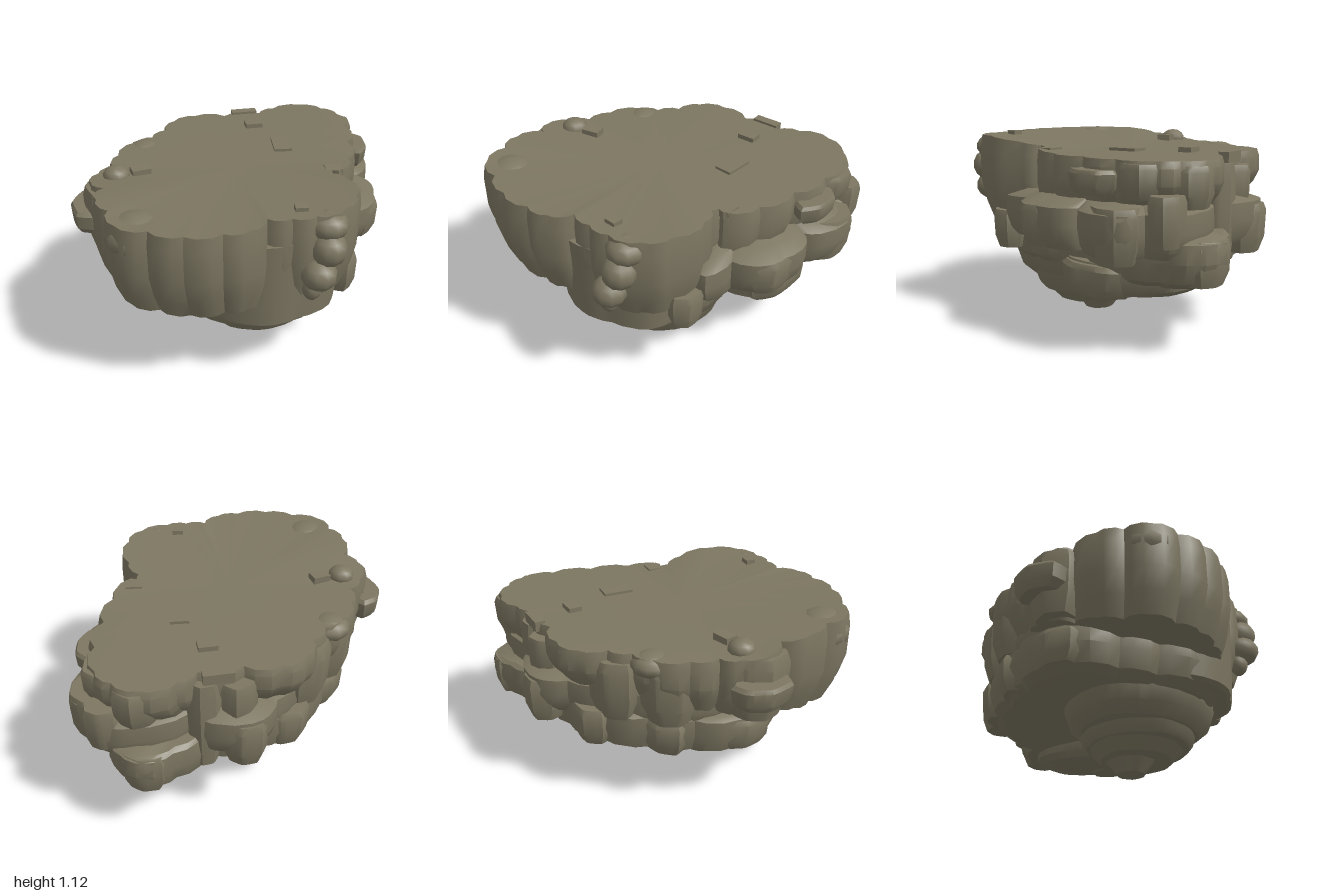
import * as THREE from 'three';
import { toCreasedNormals } from 'three/addons/utils/BufferGeometryUtils.js';

const rock = new THREE.MeshStandardMaterial({ color: 0x7c7661 });
rock.name = 'weathered olive rock';

// Small seeded generator for uneven chunks
let seed = 11;
const rand = () => (seed = (seed * 16807) % 2147483647) / 2147483647;

// Bulge every edge outwards so the outline becomes a row of rounded lobes
function scallop(pts, k) {
  const out = [];
  pts.forEach(([x, z], i) => {
    const [u, w] = pts[(i + 1) % pts.length];
    out.push([x, z]);
    for (const t of [0.28, 0.72]) {
      out.push([x + (u - x) * t + (w - z) * k, z + (w - z) * t - (u - x) * k]);
    }
  });
  return out;
}

// Loft an outline through rings [height, scale]; height may be a function of z
function slab(name, outline, rings, k = 0.12) {
  let area = 0;
  outline.forEach(([x, z], i) => {
    const [u, w] = outline[(i + 1) % outline.length];
    area += x * w - u * z;
  });
  const pts = scallop(area < 0 ? [...outline].reverse() : outline, k);
  const n = pts.length;
  const cx = outline.reduce((s, p) => s + p[0], 0) / outline.length;
  const cz = outline.reduce((s, p) => s + p[1], 0) / outline.length;
  const height = (y, z) => (typeof y === 'function' ? y(z) : y);
  const pos = [], idx = [];
  for (const [y, s] of rings) {
    for (const [px, pz] of pts) {
      const z = cz + (pz - cz) * s;
      pos.push(cx + (px - cx) * s, height(y, z), z);
    }
  }
  const top = (rings.length - 1) * n, c = rings.length * n;
  pos.push(cx, height(rings[0][0], cz), cz, cx, height(rings.at(-1)[0], cz), cz);
  for (let i = 0; i < n; i++) {
    const j = (i + 1) % n;
    for (let r = 0; r < top; r += n) {
      idx.push(r + i, r + i + n, r + j, r + j, r + i + n, r + j + n);
    }
    idx.push(c, i, j, c + 1, top + j, top + i);
  }
  const g = new THREE.BufferGeometry();
  g.setAttribute('position', new THREE.Float32BufferAttribute(pos, 3));
  g.setIndex(idx);
  const mesh = new THREE.Mesh(toCreasedNormals(g, 0.6), rock);
  mesh.name = name;
  return mesh;
}

// Uneven polygon round a centre
function blob(x, z, rx, rz, n, wobble = 0.1) {
  return Array.from({ length: n }, (_, i) => {
    const a = ((i + 0.5) / n) * Math.PI * 2, r = 1 + (rand() - 0.5) * 2 * wobble;
    return [x + Math.cos(a) * rx * r, z + Math.sin(a) * rz * r];
  });
}

export function createModel() {
  const group = new THREE.Group();
  group.name = 'floatingRock';
  const add = (...a) => group.add(slab(...a));

  // Stepped tip underneath
  add('tip', blob(0.12, 0.16, 0.15, 0.15, 7, 0.05), [[0, 0.6], [0.09, 1.05]], 0.04);
  add('lowerStep', blob(0.13, 0.19, 0.28, 0.27, 9, 0.05), [[0.08, 0.84], [0.15, 1.08], [0.17, 1.06]], 0.04);
  add('middleStep', blob(0.13, 0.21, 0.35, 0.35, 10, 0.05), [[0.15, 0.92], [0.18, 1], [0.28, 1.1]], 0.05);
  add('upperStep', [[0.5, 0.35], [0.42, 0.56], [0.2, 0.65], [-0.05, 0.64], [-0.25, 0.53], [-0.4, 0.32],
    [-0.36, 0.08], [-0.18, -0.12], [0.2, -0.22], [0.45, -0.12], [0.53, 0.1]],
  [[0.22, 0.8], [0.28, 0.96], [0.4, 1.05], [0.44, 1.05]], 0.07);

  // Shelves stacked below the cap
  add('backKeel', [[0.5, 0.0], [0.68, -0.08], [0.73, -0.3], [0.7, -0.55], [0.62, -0.75], [0.42, -0.8],
    [0.25, -0.66], [0.22, -0.4], [0.3, -0.1]],
  [[(z) => 0.23 - z * 0.1, 0.84], [(z) => 0.28 - z * 0.07, 0.97], [0.42, 1.04], [0.45, 1]], 0.06);
  add('lowerShelf', [[0.5, 0.55], [0.3, 0.7], [0.1, 0.77], [-0.1, 0.77], [-0.3, 0.62], [-0.5, 0.48],
    [-0.7, 0.32], [-0.75, 0.1], [-0.66, -0.12], [-0.53, -0.35], [-0.35, -0.58], [-0.1, -0.72],
    [0.2, -0.76], [0.4, -0.93], [0.56, -0.99], [0.68, -0.92], [0.74, -0.75], [0.76, -0.5], [0.68, -0.2],
    [0.58, 0.1], [0.58, 0.35]],
  [[0.36, 0.87], [0.4, 0.95], [0.51, 1], [0.61, 0.99], [0.63, 0.95]]);
  add('middleShelf', [[0.55, 0.42], [0.68, 0.42], [0.7, 0.22], [0.86, 0.12], [0.9, -0.02], [0.91, -0.2],
    [0.84, -0.28], [0.93, -0.38], [0.95, -0.62], [0.82, -0.7], [0.8, -0.84], [0.6, -0.88], [0.3, -0.79],
    [0.12, -0.9], [-0.1, -0.88], [-0.2, -0.72], [-0.38, -0.5], [-0.58, -0.3], [-0.7, 0], [-0.55, 0.3], [0, 0.5]],
  [[0.53, 0.9], [0.57, 0.95], [0.66, 0.99], [0.76, 0.98], [0.8, 0.82]], 0.09);
  add('frontWall', [[-0.14, 0.74], [0.1, 0.83], [0.3, 0.77], [0.5, 0.66], [0.55, 0.4], [0.3, 0],
    [-0.1, 0.15], [-0.2, 0.5]], [[0.4, 0.9], [0.42, 0.98], [0.65, 1.05], [0.95, 1.09]], 0.07);

  // Broad flat cap, thick and higher at the front
  const crown = (z) => 1.025 + 0.075 * THREE.MathUtils.smoothstep(z, -0.05, 0.65);
  const base = (z) => 0.665 - 0.11 * THREE.MathUtils.clamp(z / 0.6, -1, 1);
  const between = (t) => (z) => base(z) + (crown(z) - base(z)) * t;
  add('cap', [[-0.14, 0.95], [-0.34, 0.96], [-0.52, 0.89], [-0.69, 0.82], [-0.73, 0.66], [-0.8, 0.52],
    [-0.77, 0.34], [-0.85, 0.24], [-0.82, 0.08], [-0.74, -0.02], [-0.71, -0.18], [-0.61, -0.36],
    [-0.5, -0.43], [-0.41, -0.54], [-0.35, -0.69], [-0.2, -0.77], [0, -0.75], [0.25, -0.78], [0.36, -0.86],
    [0.56, -0.91], [0.7, -0.83], [0.79, -0.72], [0.8, -0.5], [0.76, -0.25], [0.71, 0], [0.61, 0.2],
    [0.54, 0.13], [0.56, 0.24], [0.62, 0.36], [0.62, 0.6], [0.53, 0.75], [0.36, 0.82], [0.23, 0.83],
    [0.1, 0.82], [0, 0.93]],
  [[base, 0.82], [between(0.02), 0.91], [between(0.25), 0.965], [between(0.5), 1],
    [between(0.85), 1], [crown, 0.985]], 0.16);

  // Chunks jutting out: x, z, half width, half depth, bottom, top
  const chunks = [
    ['leftOutcrop', -0.86, 0.18, 0.11, 0.19, 0.76, 0.91],
    ['leftOutcrop', -0.75, 0.22, 0.13, 0.18, 0.64, 1.03],
    ['leftOutcrop', -0.65, 0.16, 0.13, 0.18, 0.4, 0.6],
    ['leftOutcrop', -0.55, -0.22, 0.16, 0.18, 0.6, 0.98],
    ['leftOutcrop', -0.5, -0.22, 0.16, 0.16, 0.38, 0.6],
    ['leftOutcrop', -0.36, -0.46, 0.16, 0.16, 0.6, 0.97],
    ['leftOutcrop', -0.25, -0.58, 0.16, 0.14, 0.39, 0.63],
    ['backOutcrop', 0, -0.8, 0.14, 0.14, 0.46, 0.74],
    ['backOutcrop', 0.03, -0.76, 0.1, 0.1, 0.7, 0.96],
    ['backOutcrop', 0.22, -0.76, 0.1, 0.1, 0.42, 0.98],
    ['backOutcrop', 0.55, -0.88, 0.14, 0.12, 0.38, 0.62],
    ['backOutcrop', 0.57, -0.82, 0.14, 0.11, 0.78, 1],
    ['backOutcrop', 0.76, -0.78, 0.1, 0.1, 0.6, 0.86],
    ['rightOutcrop', 0.81, -0.38, 0.1, 0.16, 0.84, 0.97],
    ['rightOutcrop', 0.75, -0.62, 0.11, 0.14, 0.83, 1.01],
    ['rightOutcrop', 0.84, -0.53, 0.12, 0.16, 0.5, 0.79],
    ['rightOutcrop', 0.78, 0, 0.13, 0.17, 0.53, 0.76],
    ['rightOutcrop', 0.58, 0.47, 0.1, 0.12, 0.43, 0.66],
    ['rightOutcrop', 0.65, -0.28, 0.13, 0.28, 0.26, 0.44],
  ];
  for (const [name, x, z, rx, rz, y0, y1] of chunks) {
    const h = y1 - y0;
    add(name, blob(x, z, rx, rz, 7), [[y0, 0.72], [y0 + h * 0.3, 0.95], [y0 + h * 0.85, 1], [y1, 0.88]], 0.03);
  }

  // Rounded knobs on the front corners and rim: x, y, z, radius, half height
  const knobs = [
    [0.43, 0.9, 0.81, 0.1, 0.1], [0.38, 0.76, 0.84, 0.1, 0.09], [0.35, 0.66, 0.82, 0.055, 0.07],
    [0.43, 1.02, 0.76, 0.11, 0.08], [-0.58, 0.99, 0.72, 0.17, 0.12], [-0.7, 1.04, 0.13, 0.08, 0.06],
    [-0.54, 0.97, -0.33, 0.12, 0.07],
  ];
  for (const [x, y, z, r, h] of knobs) {
    const m = new THREE.Mesh(new THREE.SphereGeometry(r, 10, 7), rock);
    m.name = 'knob';
    m.position.set(x, y, z);
    m.scale.y = h / r;
    group.add(m);
  }

  // Loose stones lying on top: x, y, z, width, height, depth, turn
  const stones = [
    [0.18, 1.03, -0.55, 0.11, 0.05, 0.08, 0.1], [0.32, 1.02, -0.22, 0.11, 0.05, 0.18, 0],
    [-0.56, 1.04, 0.1, 0.11, 0.06, 0.08, 0.3], [0.29, 1.09, 0.71, 0.07, 0.05, 0.06, 0],
    [0.58, 1.02, 0.14, 0.1, 0.05, 0.09, 0], [0.14, 1.01, -0.79, 0.17, 0.06, 0.06, 0.1],
  ];
  for (const [x, y, z, w, h, d, turn] of stones) {
    const m = new THREE.Mesh(new THREE.BoxGeometry(w, h, d), rock);
    m.name = 'looseStone';
    m.position.set(x, y, z);
    m.rotation.y = turn;
    group.add(m);
  }
  return group;
}
